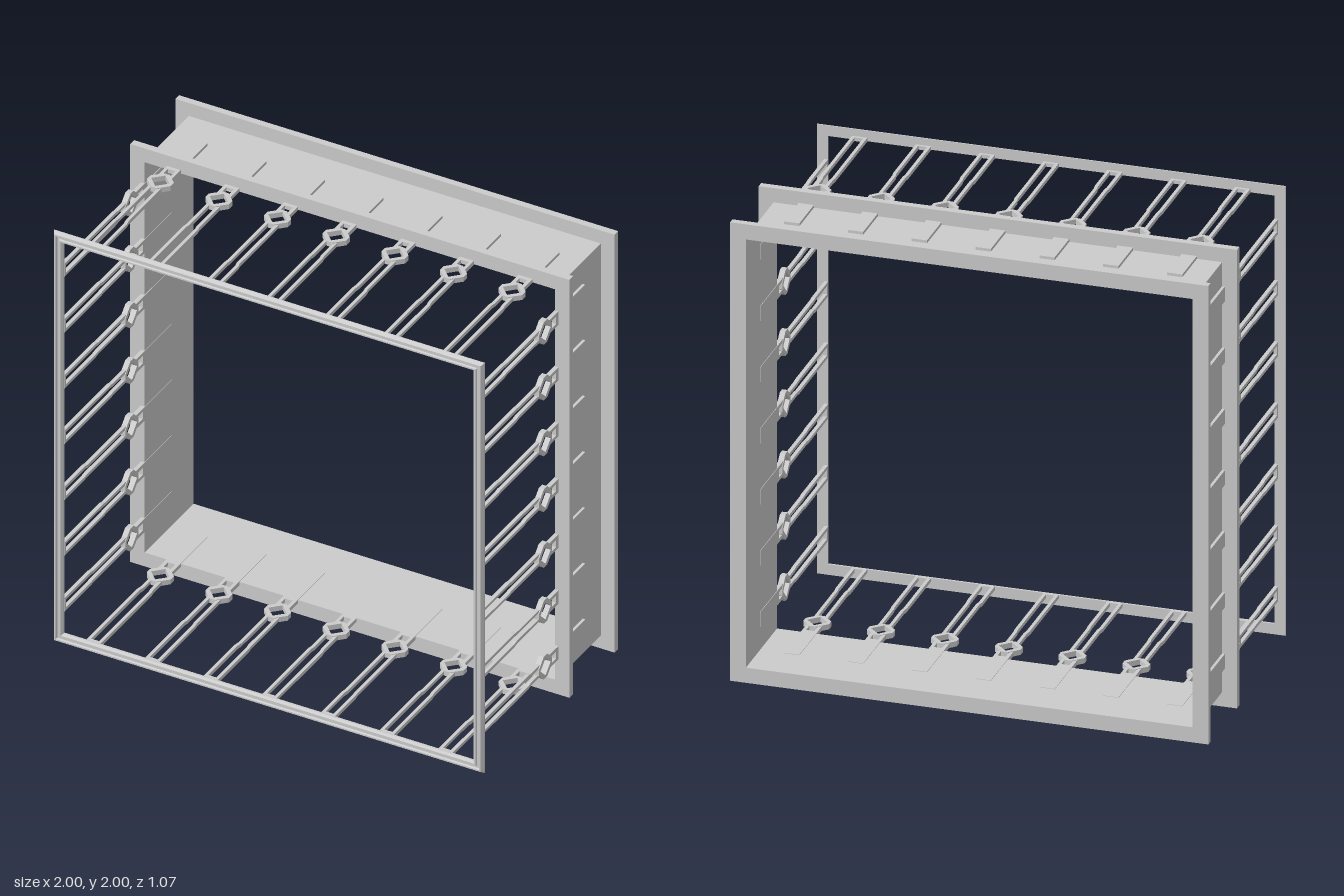
import * as THREE from 'three';

const material = new THREE.MeshStandardMaterial({ color: 0xcccccc, flatShading: true });

function addMesh(parent, geometry, name) {
  const mesh = new THREE.Mesh(geometry, material);
  mesh.name = name;
  parent.add(mesh);
  return mesh;
}

// Square ring: a four-sided lathe of a closed [half-width, z] profile, counter-clockwise
function squareRing(profile) {
  const points = [...profile, profile[0]].map(([r, z]) => new THREE.Vector2(r * Math.SQRT2, z));
  const geometry = new THREE.LatheGeometry(points, 4, Math.PI / 4).rotateX(Math.PI / 2).toNonIndexed();
  geometry.computeVertexNormals();
  return geometry;
}

const boxProfile = (inner, outer, z0, z1) => [[inner, z0], [outer, z0], [outer, z1], [inner, z1]];

// Flat plate drawn in [x, z], spanning the heights y0 to y1, with optional holes
function plate(outline, holes, y0, y1) {
  const toPoints = (list) => list.map(([x, z]) => new THREE.Vector2(x, z));
  const shape = new THREE.Shape(toPoints(outline));
  shape.holes = holes.map((h) => new THREE.Path(toPoints(h)));
  return new THREE.ExtrudeGeometry(shape, { depth: y1 - y0, bevelEnabled: false })
    .rotateX(Math.PI / 2)
    .translate(0, y1, 0);
}

const rectangle = (w, z0, z1) => [[-w, z0], [w, z0], [w, z1], [-w, z1]];

const COLLAR_Z = -0.03;
const IN = 0.932;
const OUT = 0.95;

// Slotted strut with a diamond collar; kink is where the rails widen toward the front
function createStrut(kink) {
  const strut = new THREE.Group();
  strut.name = 'strut';

  // Rear tongue with a short slot
  const rearEnd = COLLAR_Z - 0.036;
  addMesh(strut, plate([
    [-0.032, -0.36], [0.032, -0.36], [0.032, rearEnd], [0.017, rearEnd],
    [0.017, -0.122], [-0.017, -0.122], [-0.017, rearEnd], [-0.032, rearEnd],
  ], [], IN, OUT), 'tongue');

  // Long twin rails joined at the front
  const start = COLLAR_Z + 0.036;
  const jog = kink + 0.02;
  addMesh(strut, plate([
    [0.014, start], [0.028, start], [0.028, kink], [0.032, jog], [0.032, 0.517],
    [-0.032, 0.517], [-0.032, jog], [-0.029, kink], [-0.029, start], [-0.015, start],
    [-0.015, kink], [-0.018, jog], [-0.018, 0.503], [0.018, 0.503], [0.018, jog], [0.014, kink],
  ], [], IN + 0.001, OUT - 0.001), 'rails');

  // Diamond collar with clipped corners
  const c = 0.054, d = 0.014;
  const octagon = [[c, -d], [c, d], [d, c], [-d, c], [-c, d], [-c, -d], [-d, -c], [d, -c]];
  const h = 0.042;
  const diamond = [[h, 0], [0, h], [-h, 0], [0, -h]];
  addMesh(strut, plate(octagon, [diamond], IN - 0.002, OUT + 0.003), 'collar')
    .position.z = COLLAR_Z;
  return strut;
}

export function createModel() {
  const model = new THREE.Group();
  model.name = 'squareDuctFrame';
  const body = new THREE.Group();
  body.name = 'body';
  body.position.y = 1;
  model.add(body);

  // Duct wall and its two flanges
  addMesh(body, squareRing(boxProfile(0.934, 0.938, -0.53, -0.15)), 'sleeve');
  addMesh(body, squareRing(boxProfile(0.934, 1, -0.54, -0.51)), 'rearFlange');
  addMesh(body, squareRing(boxProfile(0.934, 1, -0.172, -0.14)), 'middleFlange');

  // Moulded front trim
  addMesh(body, squareRing([
    [0.934, 0.515], [0.98, 0.515], [0.98, 0.52], [0.971, 0.534], [0.964, 0.534],
    [0.96, 0.527], [0.952, 0.527], [0.948, 0.533], [0.941, 0.533], [0.934, 0.524],
  ]), 'frontTrim');

  // Seven struts along each of the four sides
  const kinks = [0.28, 0.18, 0.33, 0.12, 0.24, 0.2, 0.08];
  for (let side = 0; side < 4; side++) {
    const row = new THREE.Group();
    row.name = ['topStruts', 'leftStruts', 'bottomStruts', 'rightStruts'][side];
    row.rotation.z = -side * Math.PI / 2;
    kinks.forEach((kink, i) => {
      const strut = createStrut(kink);
      strut.position.x = (i - 3) * 0.267;
      row.add(strut);
    });
    body.add(row);
  }
  return model;
}
